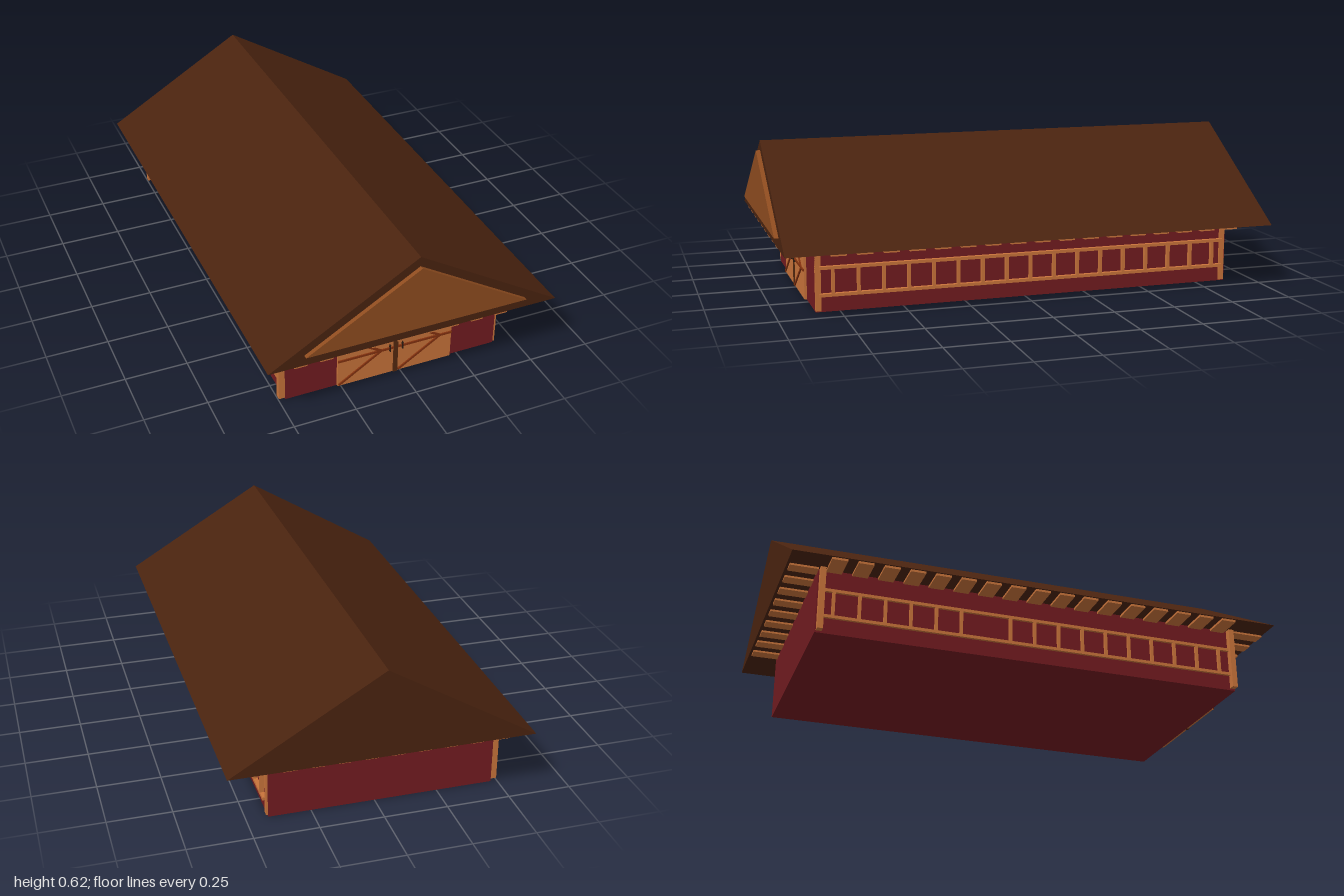
import * as THREE from 'three';

const mat = (color) => new THREE.MeshStandardMaterial({ color, flatShading: true });
const RED = mat(0x721b20), ROOF = mat(0x4a230f), PANEL = mat(0x8f4c1f);
const WOOD = mat(0xc8733a), TRIM = mat(0x84320f), DARK = mat(0x55290f), IRON = mat(0x2a1a12);

export function createModel() {
  const barn = new THREE.Group();
  barn.name = 'barn';

  // Box given by its two opposite corners
  const box = (parent, name, material, x0, x1, y0, y1, z0, z1) => {
    const m = new THREE.Mesh(new THREE.BoxGeometry(x1 - x0, y1 - y0, z1 - z0), material);
    m.position.set((x0 + x1) / 2, (y0 + y1) / 2, (z0 + z1) / 2);
    m.name = name;
    parent.add(m);
    return m;
  };

  // Triangular prism running along z
  const prism = (name, material, halfWidth, y0, y1, z0, z1) => {
    const s = new THREE.Shape();
    s.moveTo(-halfWidth, y0);
    s.lineTo(halfWidth, y0);
    s.lineTo(0, y1);
    s.closePath();
    const m = new THREE.Mesh(
      new THREE.ExtrudeGeometry(s, { depth: z1 - z0, bevelEnabled: false }), material);
    m.position.z = z0;
    m.name = name;
    barn.add(m);
  };

  const group = (name) => {
    const g = new THREE.Group();
    g.name = name;
    barn.add(g);
    return g;
  };

  // Walls, roof and front gable panel
  const left = 0.415, right = -0.475, front = 0.845, back = -0.88, eave = 0.262;
  box(barn, 'walls', RED, right, left, 0, eave, back, front);
  prism('roof', ROOF, 0.592, eave, 0.615, -1, 0.983);
  prism('gablePanel', PANEL, 0.452, 0.307, 0.575, 0.983, 1);

  // Slats under the eaves
  const slats = group('eaveSlats');
  for (let i = 0; i < 17; i++) {
    const z = 0.78 - i * 0.1;
    box(slats, 'sideSlat', WOOD, left, 0.578, 0.253, eave, z - 0.03, z + 0.03);
    box(slats, 'sideSlat', WOOD, -0.585, right, 0.253, eave, z - 0.03, z + 0.03);
  }
  for (let i = 0; i < 9; i++) {
    const x = -0.464 + i * 0.1027;
    box(slats, 'frontSlat', WOOD, x - 0.025, x + 0.025, 0.254, eave, front, 0.98);
    box(slats, 'backSlat', WOOD, x - 0.025, x + 0.025, 0.254, eave, -0.99, back);
  }

  // Corner posts
  const posts = group('cornerPosts');
  for (const [z0, z1] of [[0.823, 0.845], [-0.875, -0.853]]) {
    box(posts, 'leftPost', WOOD, left - 0.01, 0.422, 0.005, eave, z0, z1);
    box(posts, 'rightPost', WOOD, -0.5, right, 0.008, eave, z0, z1);
  }

  // Ladder-like railing on each long wall
  const railing = (name, x0, x1, skipped) => {
    const g = group(name);
    for (const y of [0.068, 0.175]) box(g, 'rail', WOOD, x0, x1, y - 0.006, y + 0.006, -0.86, 0.83);
    for (let i = 0; i < 17; i++) {
      if (i === skipped) continue;
      const z = 0.777 - i * 0.0996;
      box(g, 'upright', WOOD, x0, x1, 0.068, 0.175, z - 0.006, z + 0.006);
    }
  };
  railing('leftRailing', left, 0.432, -1);
  railing('rightRailing', -0.486, right, 10);

  // Double doors with a bar and two diagonal braces each
  const strip = (parent, name, xa, ya, xb, yb) => {
    const m = new THREE.Mesh(
      new THREE.BoxGeometry(Math.hypot(xb - xa, yb - ya), 0.009, 0.006), TRIM);
    m.position.set((xa + xb) / 2, (ya + yb) / 2, 0.857);
    m.rotation.z = Math.atan2(yb - ya, xb - xa);
    m.name = name;
    parent.add(m);
  };
  for (const [name, x0, x1, handleX] of [
    ['rightDoor', -0.263, -0.03, -0.047], ['leftDoor', -0.013, 0.218, 0.006]]) {
    const g = group(name);
    box(g, 'doorLeaf', WOOD, x0, x1, 0.002, 0.232, front, 0.855);
    strip(g, 'doorBar', x0, 0.121, x1, 0.121);
    strip(g, 'doorBrace', x0 + 0.003, 0.229, x0 + 0.18, 0.121);
    strip(g, 'doorBrace', x0 + 0.003, 0.008, x0 + 0.18, 0.121);
    box(g, 'doorHandle', IRON, handleX - 0.002, handleX + 0.002, 0.108, 0.139, 0.855, 0.864);
  }
  box(barn, 'doorPost', DARK, -0.031, -0.013, 0.002, eave, front, 0.86);

  return barn;
}
